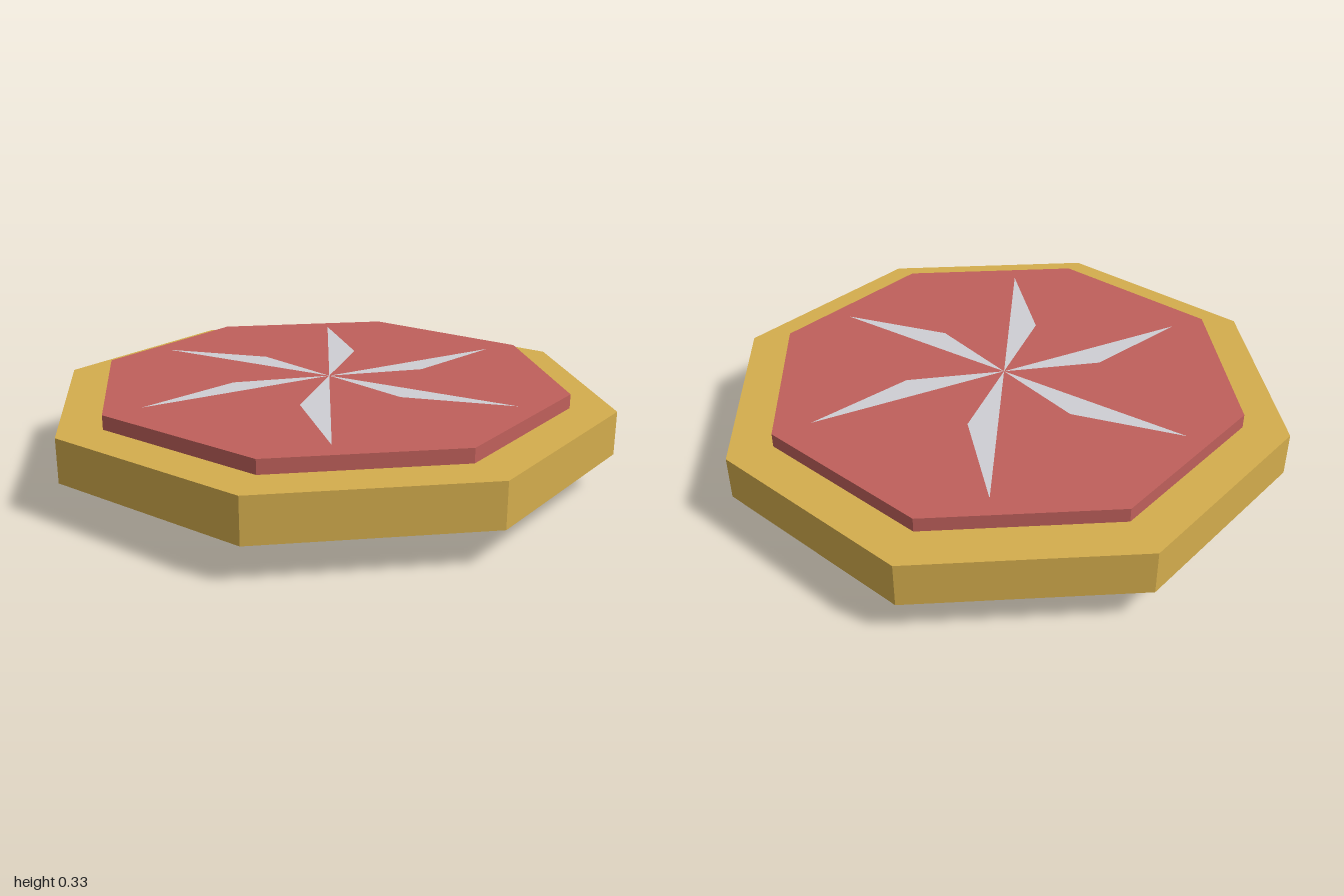
import * as THREE from 'three';
import { RoundedBoxGeometry } from 'three/addons/geometries/RoundedBoxGeometry.js';

const material = (name, color, extra = {}) => {
  const m = new THREE.MeshStandardMaterial({ color, ...extra });
  m.name = name;
  return m;
};

export function createModel() {
  const gold = material('gold', 0xd4ad4d, { flatShading: true });
  const red = material('red', 0xbf605b, { flatShading: true });
  const silver = material('silver', 0xcfcfd4, { side: THREE.DoubleSide });
  const charcoal = material('charcoal', 0x333b41);

  const group = new THREE.Group();
  const add = (name, geometry, mat, y) => {
    const mesh = new THREE.Mesh(geometry, mat);
    mesh.name = name;
    mesh.position.y = y;
    group.add(mesh);
    return mesh;
  };

  // Eight-sided slab, corners on the axes
  const slab = (name, radius, bottom, top, mat) =>
    add(name, new THREE.CylinderGeometry(radius, radius, top - bottom, 8), mat, (top + bottom) / 2);

  // Rounded square foot, its top sunk into the rim plate
  add('base', new RoundedBoxGeometry(0.93, 0.2, 0.93, 4, 0.035), charcoal, 0.105);
  slab('rimPlate', 1, 0.13, 0.283, gold);
  slab('inlay', 0.843, 0.283, 0.332, red);

  // Pinwheel of six thin blades
  const outline = new THREE.Shape([
    new THREE.Vector2(0, 0),
    new THREE.Vector2(0.33, -0.1),
    new THREE.Vector2(0.71, 0),
  ]);
  const bladeGeometry = new THREE.ShapeGeometry(outline).rotateX(-Math.PI / 2);
  // Face upward: the shape's front follows +y after the rotation
  for (let i = 0; i < 6; i++) {
    add('blade' + (i + 1), bladeGeometry, silver, 0.335).rotation.y = (i * Math.PI) / 3;
  }

  return group;
}
